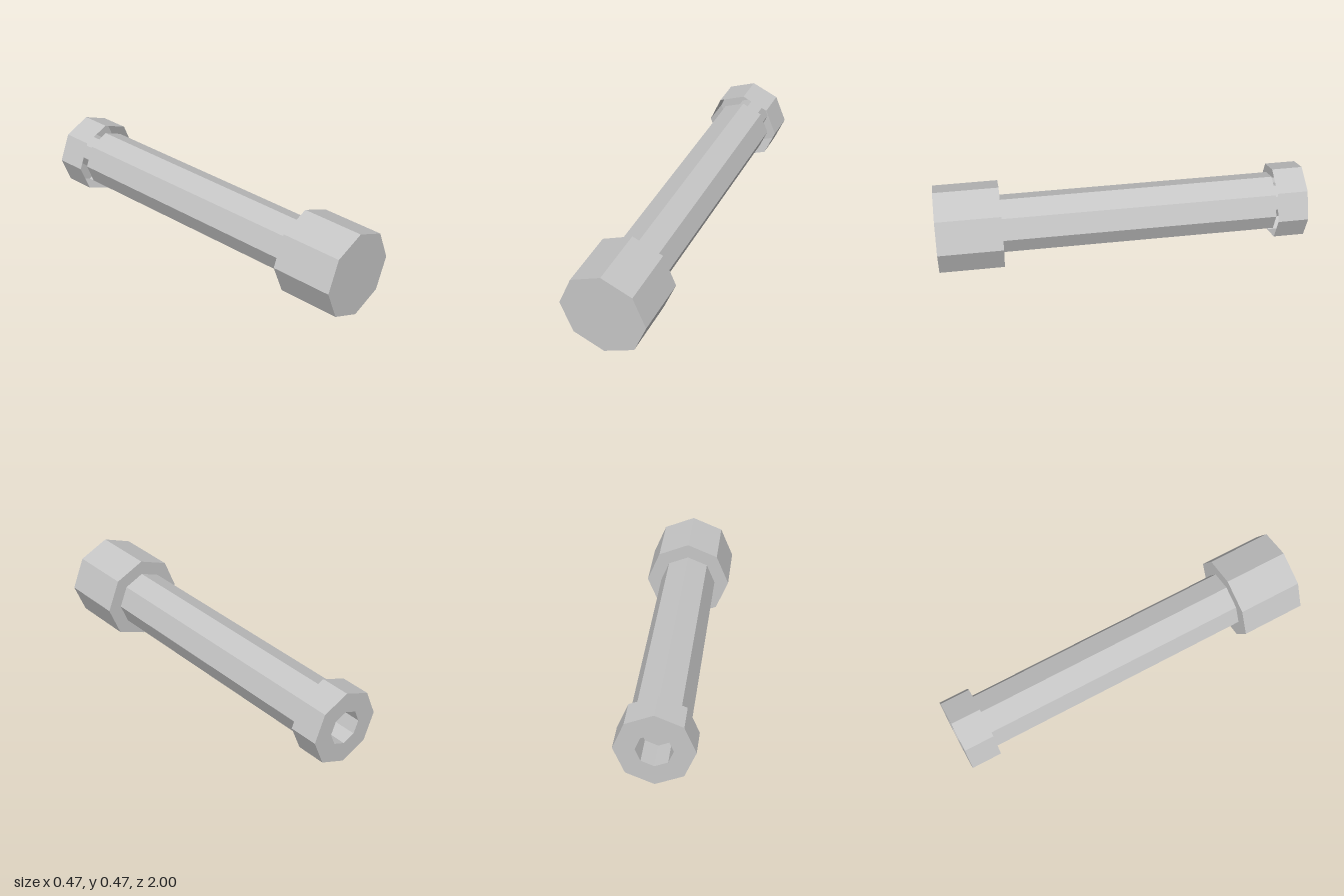
import * as THREE from 'three';

const SIDES = 8;
const AXIS_Y = 0.2375;

export function createModel() {
  const group = new THREE.Group();
  group.name = 'octagonalBarrel';

  const grey = new THREE.MeshStandardMaterial({
    color: 0xc6c6c6, flatShading: true, side: THREE.DoubleSide,
  });
  grey.name = 'light grey';

  // Lay a part built along y onto the z axis, with hard facets
  function addPart(name, geometry, z = 0) {
    const flat = geometry.toNonIndexed();
    flat.rotateX(Math.PI / 2);
    flat.computeVertexNormals();
    const mesh = new THREE.Mesh(flat, grey);
    mesh.name = name;
    mesh.position.set(0, AXIS_Y, z);
    group.add(mesh);
  }

  const prism = (radius, back, front) =>
    new THREE.CylinderGeometry(radius, radius, front - back, SIDES);

  // Thick closed head at the front
  addPart('head', prism(0.2375, 0.65, 1), 0.825);

  // Long shaft, its rear end closing the bore
  addPart('shaft', prism(0.157, -0.835, 0.65), -0.0925);

  // Rear collar: bore wall, rear rim and outer wall, open towards the shaft
  const profile = [
    [0.095, -0.835], [0.095, -1], [0.205, -1], [0.205, -0.835],
  ].map(([r, y]) => new THREE.Vector2(r, y));
  addPart('rearCollar', new THREE.LatheGeometry(profile, SIDES));

  return group;
}
